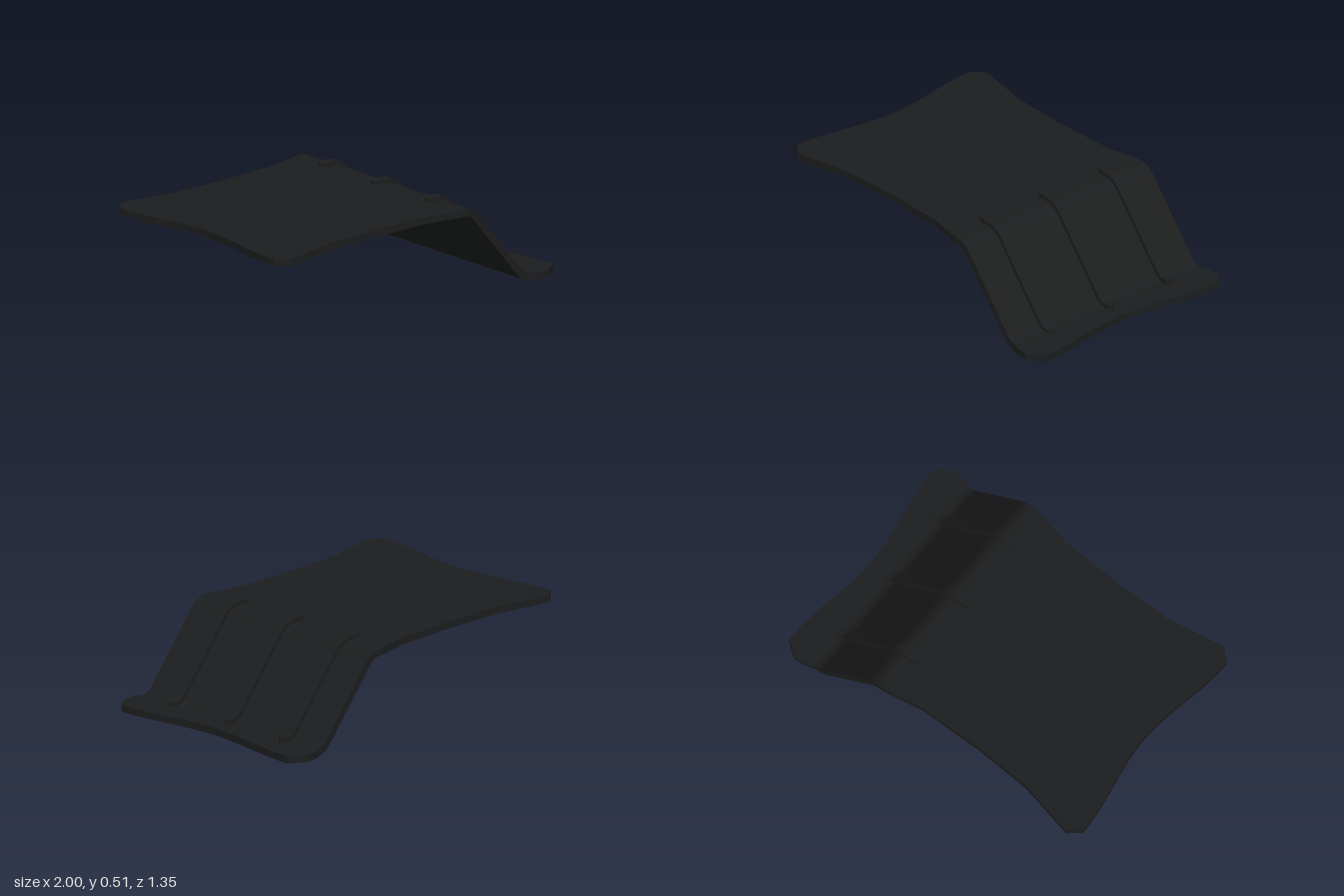
import * as THREE from 'three';
import { toCreasedNormals } from 'three/addons/utils/BufferGeometryUtils.js';

const TOP = 0.472, LOW = 0.02, HALF = 0.02;      // centre heights and half thickness
const BEND_A = 0.385, BEND_B = 0.76;             // x of the two bends
const SLOPE = Math.atan2(TOP - LOW, BEND_B - BEND_A);
const TANGENT = 0.05, RADIUS = TANGENT / Math.tan(SLOPE / 2);

// Centre line stations: x, y and downward tilt
function centreLine() {
  const flat = (x, y) => ({ x, y, tilt: 0 });
  const pts = [-0.9, -0.75, -0.6, -0.435, -0.27, -0.08, 0.1, 0.21, 0.29].map(x => flat(x, TOP));
  const steps = 8;
  for (let i = 0; i <= steps; i++) {
    const t = SLOPE * i / steps;
    pts.push({ x: BEND_A - TANGENT + RADIUS * Math.sin(t), y: TOP - RADIUS * (1 - Math.cos(t)), tilt: t });
  }
  for (let i = steps; i >= 0; i--) {
    const t = SLOPE * i / steps;
    pts.push({ x: BEND_B + TANGENT - RADIUS * Math.sin(t), y: LOW + RADIUS * (1 - Math.cos(t)), tilt: t });
  }
  pts.push(flat(0.83, LOW), flat(0.85, LOW), flat(0.88, LOW), flat(0.9, LOW));
  return pts;
}

// Slab that follows the centre line between two shaped ends.
// startX(v), endX(v): end outlines; width(x): half width; lo, hi: offsets from the centre line
function slab(line, vs, startX, endX, width, lo, hi, z0 = 0) {
  const n = line.length + 2, ring = 2 * n, pos = [], idx = [];
  for (const v of vs) {
    const row = [{ x: startX(v), y: TOP, tilt: 0 }, ...line, { x: endX(v), y: LOW, tilt: 0 }];
    const put = (p, h) => pos.push(p.x + h * Math.sin(p.tilt), p.y + h * Math.cos(p.tilt), z0 + v * width(p.x));
    row.forEach(p => put(p, hi));
    row.reverse().forEach(p => put(p, lo));
  }
  const quad = (a, b, c, d) => idx.push(a, b, c, a, c, d);
  for (let j = 0; j < vs.length - 1; j++) {
    for (let k = 0; k < ring; k++) {
      const k2 = (k + 1) % ring, a = j * ring, b = a + ring;
      quad(a + k, b + k, b + k2, a + k2);
    }
  }
  // side walls
  const last = (vs.length - 1) * ring;
  for (let i = 0; i < n - 1; i++) {
    const t = i, t2 = i + 1, b = ring - 1 - i, b2 = b - 1;
    quad(last + b, last + b2, last + t2, last + t);
    quad(t, t2, b2, b);
  }
  const geo = new THREE.BufferGeometry();
  geo.setAttribute('position', new THREE.Float32BufferAttribute(pos, 3));
  geo.setIndex(idx);
  return toCreasedNormals(geo, 0.45);
}

// Half width of the plate along x
const WIDTHS = [[-0.93, 0.67], [-0.6, 0.605], [-0.27, 0.594], [0.1, 0.605], [0.32, 0.65],
  [0.79, 0.65], [0.85, 0.67], [0.915, 0.675]];
function plateWidth(x) {
  if (x <= WIDTHS[0][0]) return WIDTHS[0][1];
  for (let i = 1; i < WIDTHS.length; i++) {
    const [x0, w0] = WIDTHS[i - 1], [x1, w1] = WIDTHS[i];
    if (x <= x1) return w0 + (w1 - w0) * (x - x0) / (x1 - x0);
  }
  return WIDTHS[WIDTHS.length - 1][1];
}

// Hollow end edge: swells smoothly to the tips, then a cut corner
const TIP = 0.915;
const endEdge = (mid, corner) => v => {
  const a = Math.abs(v);
  if (a > TIP) return 1 + (corner - 1) * (a - TIP) / (1 - TIP);
  return mid + (1 - mid) * (1 - Math.cos(Math.PI * a / TIP)) / 2;
};

export function createModel() {
  const model = new THREE.Group();
  model.name = 'steppedPlate';
  const material = new THREE.MeshStandardMaterial({ color: 0x1c1d1e });
  const add = (name, geo) => {
    const mesh = new THREE.Mesh(geo, material);
    mesh.name = name;
    model.add(mesh);
  };

  // Bent plate
  const line = centreLine();
  const columns = [-1];
  for (let i = 0; i <= 28; i++) columns.push(TIP * (i / 14 - 1));
  columns.push(1);
  const left = endEdge(0.925, 0.93), right = endEdge(0.933, 0.915);
  add('plate', slab(line, columns, v => -left(v), right, plateWidth, -HALF, HALF));

  // Three raised ribs with round ends over the slope
  const r = 0.024, x0 = 0.265, x1 = 0.848;
  const ribLine = line.filter(p => p.x > x0 + r && p.x < x1 - r);
  const ribColumns = [];
  for (let i = 0; i <= 12; i++) ribColumns.push(-Math.cos(Math.PI * i / 12));
  const round = v => r * Math.sqrt(Math.max(0, 1 - v * v));
  ['backRib', 'middleRib', 'frontRib'].forEach((name, i) => {
    add(name, slab(ribLine, ribColumns, v => x0 + r - round(v), v => x1 - r + round(v),
      () => r, 0.01, HALF + 0.023, (i - 1) * 0.415));
  });
  return model;
}
